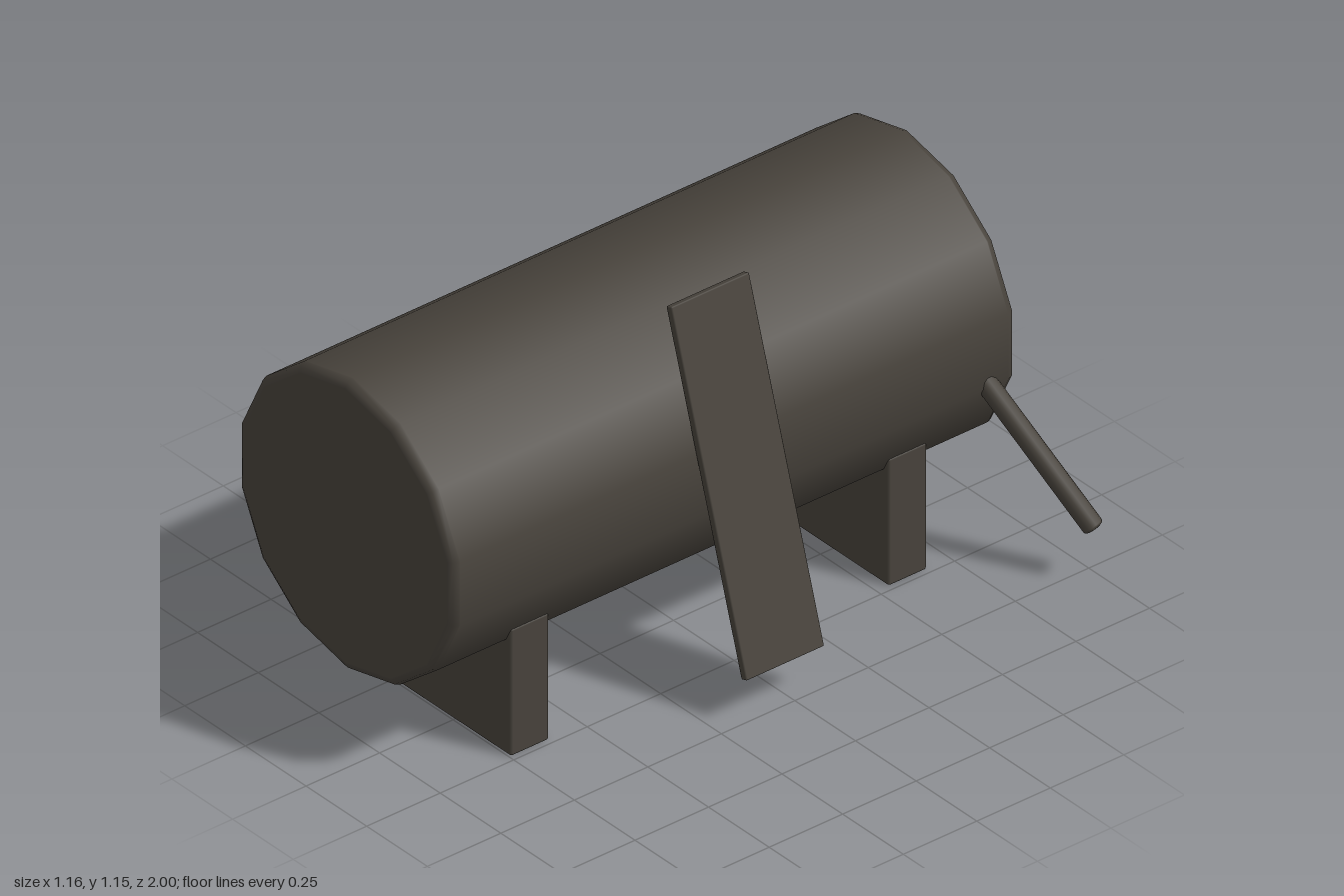
import * as THREE from 'three';
import { RoundedBoxGeometry } from 'three/addons/geometries/RoundedBoxGeometry.js';

const darkIron = new THREE.MeshStandardMaterial({ color: 0x48433c });
darkIron.name = 'dark iron';

// Closed cylinder along y with softened rims, base at y = 0
function softCylinder(radius, length, bevel, sides) {
  const b = bevel, e = bevel * 0.15;
  const half = [[0, 0], [radius - b - e, 0], [radius - b, 0], [radius - b * 0.3, b * 0.3], [radius, b], [radius, b + e]];
  const rim = half.map(([r, y]) => [r, length - y]).reverse();
  return new THREE.LatheGeometry([...half, ...rim].map(([r, y]) => new THREE.Vector2(r, y)), sides);
}

export function createModel() {
  const model = new THREE.Group();
  model.name = 'barrelOnStand';

  function add(name, geometry, x, y, z) {
    const mesh = new THREE.Mesh(geometry, darkIron);
    mesh.name = name;
    mesh.position.set(x, y, z);
    model.add(mesh);
    return mesh;
  }

  // Fourteen-sided barrel lying along z, with a corner at the top
  const barrel = add('barrel', softCylinder(0.453, 1.915, 0.022, 14), -0.14, 0.641, -0.915);
  barrel.rotation.x = Math.PI / 2;

  // Two upright cradle blocks
  for (const [name, z] of [['frontSupport', 0.681], ['backSupport', -0.604]]) {
    add(name, new RoundedBoxGeometry(0.744, 0.398, 0.13, 1, 0.007), -0.138, 0.199, z);
  }

  // Plank leaning against the left side
  const plank = add('leaningPlank', new RoundedBoxGeometry(0.024, 1.061, 0.265, 1, 0.004), 0.343, 0.641, 0.039);
  plank.rotation.z = THREE.MathUtils.degToRad(17);

  // Handle rod sloping out of the back left of the barrel
  const start = new THREE.Vector3(0.25, 0.592, -0.811);
  const end = new THREE.Vector3(0.552, 0.163, -0.975);
  const along = end.clone().sub(start);
  const rod = add('handleRod', softCylinder(0.03, along.length(), 0.007, 14), start.x, start.y, start.z);
  rod.quaternion.setFromUnitVectors(new THREE.Vector3(0, 1, 0), along.normalize());

  return model;
}
